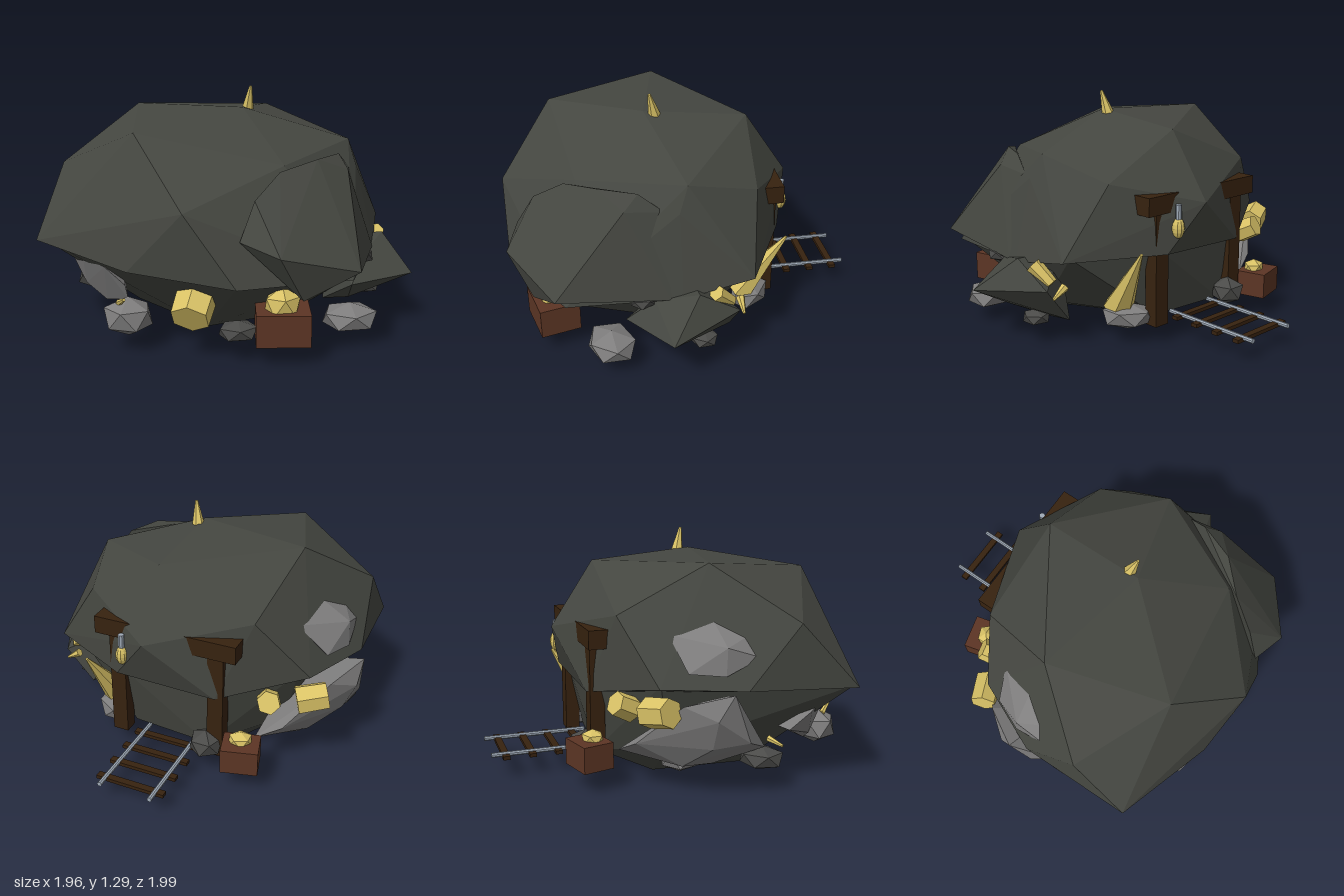
import * as THREE from 'three';
import { ConvexGeometry } from 'three/addons/geometries/ConvexGeometry.js';

function material(name, color) {
  const m = new THREE.MeshStandardMaterial({ color, flatShading: true });
  m.name = name;
  return m;
}

export function createModel() {
  const group = new THREE.Group();
  const darkStone = material('dark stone', 0x444640);
  const slate = material('slate', 0x4b4b49);
  const greyStone = material('grey stone', 0x7e7d7d);
  const gold = material('gold', 0xd9c266);
  const crateWood = material('crate wood', 0x5c3524);
  const beamWood = material('beam wood', 0x37220f);
  const steel = material('steel', 0xa0abb8);

  function add(name, geo, mat, pos = [0, 0, 0], rot = [0, 0, 0], scale = [1, 1, 1]) {
    const m = new THREE.Mesh(geo, mat);
    m.name = name;
    m.position.set(...pos);
    m.rotation.set(...rot);
    m.scale.set(...scale);
    group.add(m);
    return m;
  }
  const hull = (name, mat, pts) =>
    add(name, new ConvexGeometry(pts.map(p => new THREE.Vector3(...p))), mat);
  // Low-poly stone with one corner pointing straight up
  const stone = new THREE.IcosahedronGeometry(1, 0).rotateX(-1.017);
  const rock = (name, mat, pos, scale, rot = [0, 0.4, 0]) => add(name, stone, mat, pos, rot, scale);

  // Pointed crystal from a base point to a tip
  function spike(name, base, tip, radius, tipRadius = 0.008) {
    const a = new THREE.Vector3(...base), d = new THREE.Vector3(...tip).sub(a);
    const m = add(name, new THREE.CylinderGeometry(tipRadius, radius, d.length(), 6), gold);
    m.position.copy(a).addScaledVector(d, 0.5);
    m.quaternion.setFromUnitVectors(new THREE.Vector3(0, 1, 0), d.normalize());
  }

  // Main boulder: crown, girdle and overhanging rim
  hull('boulder', darkStone, [
    [-0.6, 1.16, 0.07], [0.04, 1.175, 0.2], [0.6, 1.0, 0.05], [0.05, 1.12, -0.37],
    [-0.4, 1.1, 0.7], [0.35, 0.95, 0.6],
    [-0.9, 0.88, 0.45], [-0.5, 0.9, -0.39], [0.04, 0.76, -0.61], [0.48, 0.88, -0.34],
    [-0.06, 0.78, 0.99], [0.65, 0.87, 0.1],
    [-0.92, 0.53, 0.78], [-0.94, 0.57, 0.15], [-0.77, 0.57, -0.25], [-0.33, 0.47, -0.51],
    [0.24, 0.5, -0.53], [0.74, 0.5, -0.28], [0.76, 0.43, 0.1], [0.72, 0.42, 0.7],
    [0.2, 0.42, 0.98], [-0.36, 0.46, 0.96],
  ]);
  // Narrower foot below the rim
  hull('boulderFoot', darkStone, [
    [-0.36, 0.0, -0.15], [0.31, 0.03, 0.25], [-0.54, 0.06, 0.3], [-0.05, 0.07, 0.62],
    [0.2, 0.12, -0.4], [-0.26, 0.12, -0.44], [0.56, 0.16, 0.1], [-0.6, 0.2, -0.14],
    [-0.9, 0.54, 0.76], [-0.7, 0.57, -0.22], [-0.32, 0.48, -0.48], [0.23, 0.5, -0.48],
    [0.66, 0.5, -0.24], [0.74, 0.45, 0.1], [0.7, 0.43, 0.69], [0.2, 0.43, 0.96],
    [-0.36, 0.47, 0.94],
  ]);
  // Shoulder rock at the front
  hull('shoulderRock', darkStone, [
    [0.25, 0.82, 0.82], [0.34, 0.93, 0.66], [0.5, 0.97, 0.5], [0.58, 0.965, 0.3],
    [0.64, 0.9, 0.38], [0.62, 0.87, 0.17], [0.41, 0.59, 0.98], [0.2, 0.64, 0.92],
    [0.5, 0.35, 0.86], [0.76, 0.48, 0.75], [0.76, 0.43, 0.16],
  ]);
  // Pointed outcrop on the side
  hull('sideOutcrop', darkStone, [
    [0.98, 0.3, 0.18], [0.8, 0.475, 0.02], [0.73, 0.42, 0.24], [0.68, 0.28, 0.39],
    [0.78, 0.34, -0.2], [0.62, 0.14, -0.18], [0.6, 0.1, 0.03], [0.65, 0.17, 0.28],
    [0.8, 0.2, 0.12], [0.5, 0.44, 0.05], [0.5, 0.12, 0.2],
  ]);
  // Grey ledge leaning on the flank
  hull('greyLedge', greyStone, [
    [-0.98, 0.57, 0.06], [-0.95, 0.31, 0.16], [-0.86, 0.25, 0.28], [-0.97, 0.44, -0.02],
    [-0.86, 0.5, -0.16], [-0.9, 0.28, -0.02], [-0.66, 0.27, -0.34], [-0.52, 0.2, -0.39],
    [-0.74, 0.15, -0.12], [-0.72, 0.14, 0.05], [-0.6, 0.45, 0.15],
  ]);
  hull('greySlab', greyStone, [
    [-0.66, 0.82, -0.17], [-0.68, 0.92, 0.04], [-0.81, 0.82, 0.2], [-0.88, 0.72, 0.24],
    [-0.89, 0.64, 0.05], [-0.82, 0.65, -0.12], [-0.88, 0.78, 0.06], [-0.5, 0.72, 0.05],
  ]);
  hull('frontSlab', greyStone, [
    [-0.83, 0.4, 0.56], [-0.7, 0.42, 0.7], [-0.54, 0.42, 0.8], [-0.43, 0.33, 0.8],
    [-0.43, 0.24, 0.76], [-0.6, 0.18, 0.64], [-0.73, 0.25, 0.6], [-0.8, 0.3, 0.45],
    [-0.6, 0.3, 0.4],
  ]);

  // Loose rocks around the foot
  [
    [greyStone, [-0.41, 0.175, 0.82], [0.14, 0.105, 0.12]],
    [greyStone, [0.68, 0.135, 0.47], [0.16, 0.08, 0.135]],
    [greyStone, [0.36, 0.145, -0.35], [0.1, 0.075, 0.15]],
    [greyStone, [-0.6, 0.15, -0.08], [0.11, 0.08, 0.11]],
    [slate, [0.17, 0.155, 0.83], [0.11, 0.055, 0.09]],
    [slate, [-0.8, 0.175, 0.29], [0.125, 0.065, 0.11]],
    [slate, [-0.28, 0.17, -0.5], [0.1, 0.08, 0.1]],
    [slate, [0.72, 0.14, -0.02], [0.08, 0.045, 0.08]],
    [slate, [0.71, 0.42, 0.3], [0.07, 0.045, 0.08]],
  ].forEach(([mat, pos, scale], i) => rock('looseRock' + (i + 1), mat, pos, scale, [0, (i % 3) * 0.4, 0]));

  // Ore crates with nuggets
  add('frontCrate', new THREE.BoxGeometry(0.27, 0.165, 0.22), crateWood, [0.38, 0.185, 0.76], [0, 0.25, 0]);
  rock('frontCrateNugget', gold, [0.38, 0.29, 0.77], [0.1, 0.095, 0.085]);
  add('backCrate', new THREE.BoxGeometry(0.2, 0.14, 0.17), crateWood, [-0.5, 0.19, -0.54], [0, 0.26, 0]);
  rock('backCrateNugget', gold, [-0.49, 0.265, -0.52], [0.07, 0.05, 0.06]);

  // Blunt gold crystals
  const prism = new THREE.CylinderGeometry(0.085, 0.09, 0.15, 6);
  add('frontCrystal', prism, gold, [-0.045, 0.28, 0.87], [2.1, 0, 0], [1.2, 1.1, 1.08]);
  add('flankCrystal', prism, gold, [-0.79, 0.46, -0.26], [0.5, 0.3, 1.2], [0.9, 1.1, 0.9]);
  add('flankCrystalSmall', prism, gold, [-0.59, 0.45, -0.38], [-1.2, 0.4, 0.3], [0.75, 0.8, 0.75]);

  // Gold spikes
  spike('topSpike', [0.055, 1.15, 0.14], [0.08, 1.285, 0.17], 0.036);
  spike('backSpike', [0.37, 0.18, -0.29], [0.43, 0.54, -0.53], 0.085);
  spike('sideSpike', [0.72, 0.36, -0.16], [0.765, 0.455, -0.07], 0.035, 0.045);
  spike('sideSpikeSmall', [0.68, 0.35, -0.22], [0.76, 0.3, -0.225], 0.025);
  spike('frontSpike', [-0.45, 0.25, 0.84], [-0.39, 0.3, 0.92], 0.018);
  spike('flankSpike', [-0.8, 0.27, 0.33], [-0.88, 0.25, 0.37], 0.018);

  // Mine entrance: lintel and two posts
  add('lintel', new THREE.BoxGeometry(0.82, 0.1, 0.14), beamWood, [-0.04, 0.77, -0.452]);
  for (const x of [-0.33, 0.25])
    add('entrancePost', new THREE.BoxGeometry(0.09, 0.64, 0.08), beamWood, [x, 0.42, -0.46]);

  // Hanging lamp
  add('lampHook', new THREE.CylinderGeometry(0.017, 0.017, 0.11, 8), steel, [0.19, 0.71, -0.555]);
  add('lampBulb', new THREE.SphereGeometry(0.034, 10, 8), gold, [0.19, 0.64, -0.555], [0, 0, 0], [1, 1.65, 1]);

  // Track
  for (const x of [-0.188, 0.102])
    add('rail', new THREE.CylinderGeometry(0.013, 0.013, 0.58, 8), steel, [x, 0.123, -0.71], [Math.PI / 2, Math.PI / 8, 0]);
  for (const z of [-0.925, -0.783, -0.641, -0.5])
    add('sleeper', new THREE.BoxGeometry(0.39, 0.02, 0.038), beamWood, [-0.043, 0.115, z]);

  return group;
}
